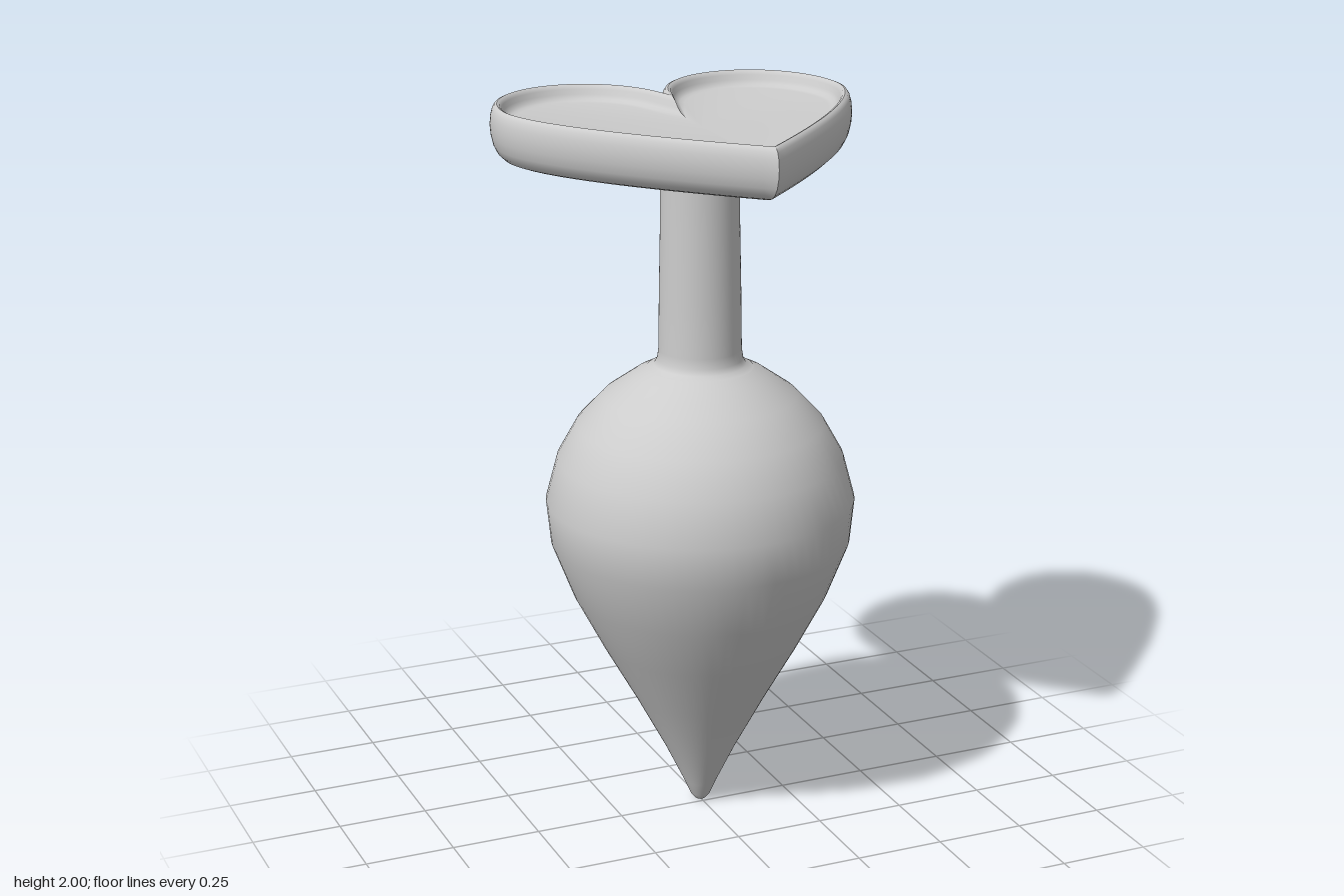
import * as THREE from 'three';
import { toCreasedNormals } from 'three/addons/utils/BufferGeometryUtils.js';

const v2 = (x, y) => new THREE.Vector2(x, y);

// Right half of the heart in x/z, from notch to tip
function halfHeart() {
  const curves = [
    [v2(0, -0.29), v2(0.035, -0.4), v2(0.13, -0.485), v2(0.25, -0.485)],
    [v2(0.25, -0.485), v2(0.39, -0.485), v2(0.505, -0.36), v2(0.505, -0.2)],
    [v2(0.505, -0.2), v2(0.505, -0.02), v2(0.25, 0.25), v2(0, 0.48)],
  ].map((p) => new THREE.CubicBezierCurve(...p));
  const out = [];
  curves.forEach((c, k) => {
    for (let i = k ? 1 : 0; i <= 24; i++) {
      const t = c.getTangent(i / 24);
      out.push({ p: c.getPoint(i / 24), n: v2(-t.y, t.x) });
    }
  });
  return out;
}

// Closed heart outline moved inward by d, mitred at notch and tip
function heartRing(half, d) {
  const last = half.length - 1;
  const miter = ({ p, n }) => v2(0, p.y + d / n.y);
  const notch = miter(half[0]), tip = miter(half[last]);
  const right = half.map(({ p, n }, i) => {
    if (i === 0) return notch;
    const q = p.clone().addScaledVector(n, d);
    return i === last || q.x < 0 ? tip : q;
  });
  const left = right.slice(1, -1).reverse().map((q) => v2(-q.x, q.y));
  return [...right, ...left];
}

function heartGeometry() {
  const half = halfHeart();
  // inset, height, scale: underside, outer wall, rim, recess floor
  const section = [
    [0.05, 1.85, 0], [0.05, 1.851, 0.75], [0.05, 1.854, 1], [0.032, 1.861, 1], [0.018, 1.874, 1],
    [0.008, 1.894, 1], [0.002, 1.92, 1], [0, 1.945, 1], [0.002, 1.97, 1], [0.007, 1.988, 1],
    [0.013, 1.997, 1], [0.02, 2, 1], [0.027, 1.997, 1], [0.032, 1.988, 1], [0.037, 1.975, 1],
    [0.043, 1.965, 1], [0.052, 1.959, 1], [0.065, 1.957, 1], [0.065, 1.956, 0],
  ];
  const pos = [], index = [];
  let n = 0;
  section.forEach(([inset, y, s]) => {
    const ring = heartRing(half, inset);
    n = ring.length;
    ring.forEach((q) => pos.push(q.x * s, y, q.y * s));
  });
  for (let j = 0; j < section.length - 1; j++) {
    for (let i = 0; i < n; i++) {
      const a = j * n + i, b = j * n + (i + 1) % n;
      if (section[j][2] > 0) index.push(a, b + n, b);
      if (section[j + 1][2] > 0) index.push(a, a + n, b + n);
    }
  }
  const geo = new THREE.BufferGeometry();
  geo.setAttribute('position', new THREE.Float32BufferAttribute(pos, 3));
  geo.setIndex(index);
  return toCreasedNormals(geo, 0.8);
}

export function createModel() {
  const group = new THREE.Group();
  const grey = new THREE.MeshStandardMaterial({ color: 0xcccccc });
  grey.name = 'light grey';

  const add = (name, geo, z) => {
    const mesh = new THREE.Mesh(geo, grey);
    mesh.name = name;
    mesh.position.z = z;
    group.add(mesh);
  };
  const lathe = (pts) => new THREE.LatheGeometry(pts.map(([r, y]) => v2(r, y)), 64);

  // Teardrop body
  add('body', lathe([
    [0, 0], [0.015, 0.004], [0.028, 0.02], [0.045, 0.06], [0.1, 0.175], [0.185, 0.335],
    [0.275, 0.495], [0.353, 0.645], [0.413, 0.8], [0.425, 0.92], [0.393, 1.04], [0.34, 1.135],
    [0.265, 1.215], [0.18, 1.275], [0.125, 1.302],
  ]), -0.02);

  // Stem with a flared foot
  add('stem', lathe([
    [0.145, 1.293], [0.125, 1.302], [0.117, 1.318], [0.113, 1.345], [0.111, 1.5], [0.107, 1.7], [0.106, 1.88],
  ]), -0.02);

  // Heart-shaped plate with a raised rim
  add('heartPlate', heartGeometry(), 0);

  return group;
}
